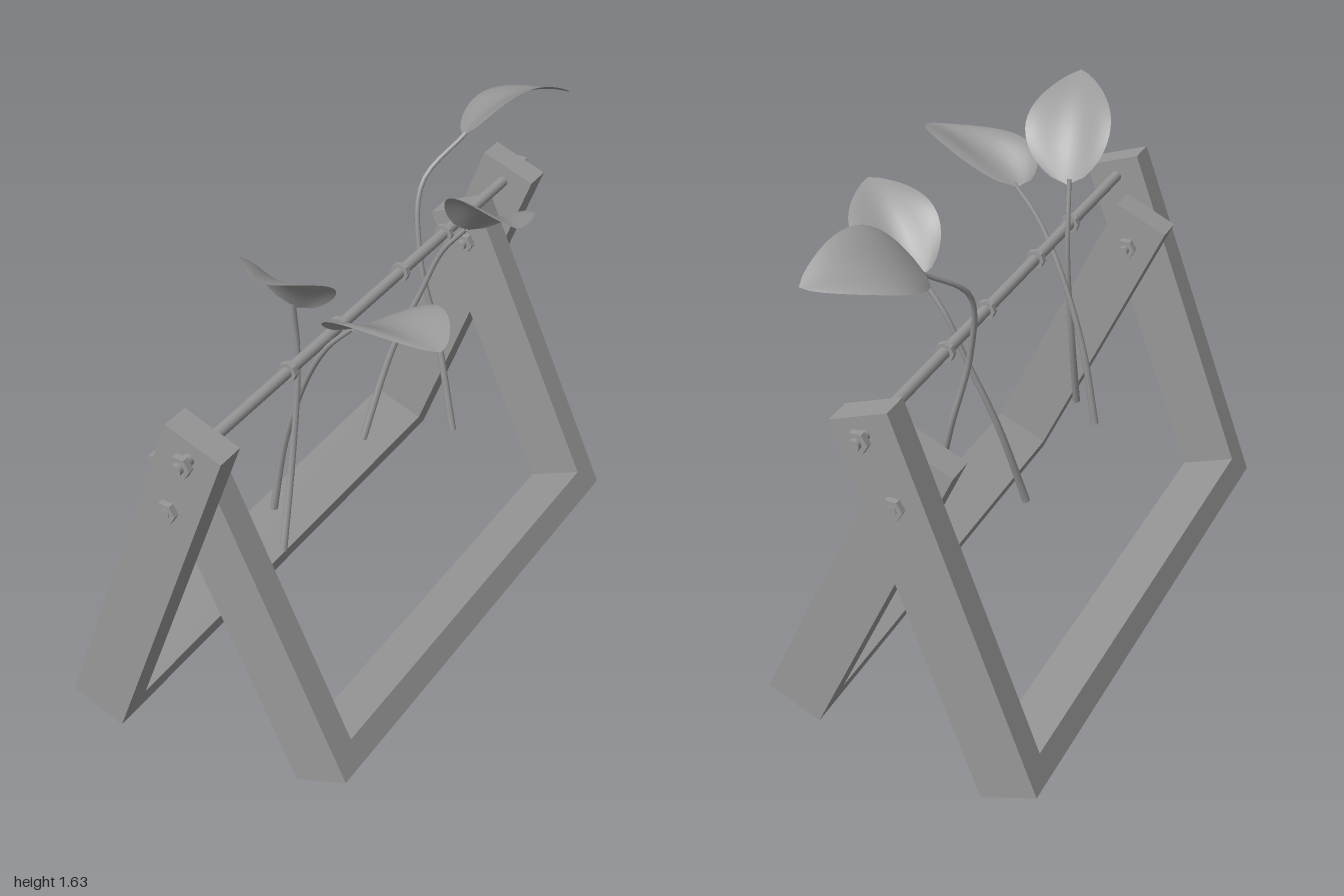
import * as THREE from 'three';

const GREY = 0x989898;
const material = new THREE.MeshStandardMaterial({ color: GREY, side: THREE.DoubleSide });
const flat = new THREE.MeshStandardMaterial({ color: GREY, flatShading: true });
const V = (p) => new THREE.Vector3(...p);

function add(parent, name, geometry, mat, x = 0, y = 0, z = 0) {
  const mesh = new THREE.Mesh(geometry, mat);
  mesh.name = name;
  mesh.position.set(x, y, z);
  parent.add(mesh);
  return mesh;
}

// Cylinder lying along x
function bar(parent, name, radius, length, sides, x, y, z) {
  const g = new THREE.CylinderGeometry(radius, radius, length, sides).rotateZ(Math.PI / 2);
  return add(parent, name, g, sides > 8 ? material : flat, x, y, z);
}

// U-shaped tilted frame: two legs joined by a plank at the foot
function uFrame(name, halfWidth, length, tilt, y, z) {
  const t = 0.09, depth = 0.19, frame = new THREE.Group();
  frame.name = name;
  for (const s of [-1, 1])
    add(frame, 'leg', new THREE.BoxGeometry(t, length, depth), flat, s * (halfWidth - t / 2), length / 2, 0);
  add(frame, 'crossPlank', new THREE.BoxGeometry(2 * (halfWidth - t), t, depth), flat, 0, t / 2, 0);
  frame.position.set(0, y, z);
  frame.rotation.x = tilt;
  return frame;
}

// Tube tapering towards the leaf
function stem(parent, points) {
  const curve = new THREE.CatmullRomCurve3(points.map(V));
  const rows = 28, sides = 8;
  const g = new THREE.TubeGeometry(curve, rows, 0.013, sides);
  const pos = g.attributes.position, p = new THREE.Vector3();
  for (let i = 0; i < pos.count; i++) {
    const t = Math.floor(i / (sides + 1)) / rows;
    const c = curve.getPointAt(t);
    p.fromBufferAttribute(pos, i).sub(c).multiplyScalar(1 - 0.45 * t).add(c);
    pos.setXYZ(i, p.x, p.y, p.z);
  }
  add(parent, 'stem', g, material);
  // Cut end of the stem
  const cap = add(parent, 'stemEnd', new THREE.CircleGeometry(0.013, sides), material, ...points[0]);
  cap.lookAt(V(points[0]).sub(curve.getTangentAt(0)));
}

// Egg-shaped blade with an arched midrib and raised sides that level out at the rim
function leaf(parent, { base, tip, side, halfWidth, arch, cup }) {
  const a = V(base), along = V(tip).sub(a);
  const lat = V(side).normalize();
  const up = lat.clone().cross(along).normalize();
  if (up.y < 0) up.negate();
  const g = new THREE.PlaneGeometry(1, 1, 12, 20);
  const pos = g.attributes.position, p = new THREE.Vector3();
  for (let i = 0; i < pos.count; i++) {
    const s = pos.getX(i) * 2, t = THREE.MathUtils.clamp(pos.getY(i) + 0.5, 0, 1);
    const w = Math.pow(Math.max(0, Math.sin(Math.PI * Math.pow(t, 0.8))), 0.75);
    const rise = cup * w * w * (1 - Math.cos(Math.PI * s)) / 2;
    p.copy(a).addScaledVector(along, t)
      .addScaledVector(lat, s * w * halfWidth)
      .addScaledVector(up, arch * 4 * t * (1 - t) + rise);
    pos.setXYZ(i, p.x, p.y, p.z);
  }
  g.computeVertexNormals();
  add(parent, 'leaf', g, material);
}

const SPRIGS = [
  { path: [[-0.335, 0.5, 0.295], [-0.28, 0.78, 0.24], [-0.25, 1.05, 0.222], [-0.25, 1.2, 0.225], [-0.27, 1.36, 0.25]],
    base: [-0.265, 1.34, 0.255], tip: [-0.46, 1.605, 0.49], side: [0.67, -0.1, 0.74], halfWidth: 0.14, arch: 0.04, cup: 0.03 },
  { path: [[-0.295, 0.52, 0.115], [-0.265, 0.8, 0.15], [-0.225, 1.05, 0.22], [-0.19, 1.22, 0.31], [-0.15, 1.32, 0.39]],
    base: [-0.155, 1.31, 0.375], tip: [-0.04, 1.425, 0.73], side: [0.28, 0.03, 0.07], halfWidth: 0.143, arch: 0.04, cup: 0.035 },
  { path: [[0.115, 0.5, -0.13], [0.22, 0.82, -0.14], [0.3, 1.05, -0.1], [0.345, 1.2, -0.06], [0.39, 1.31, 0.01]],
    base: [0.395, 1.3, 0.0], tip: [0.385, 1.49, 0.335], side: [0.24, -0.06, 0.07], halfWidth: 0.127, arch: 0.04, cup: 0.035 },
  { path: [[0.395, 0.52, -0.035], [0.37, 0.85, -0.12], [0.33, 1.12, -0.18], [0.36, 1.35, -0.24], [0.52, 1.475, -0.27]],
    base: [0.51, 1.47, -0.27], tip: [0.89, 1.54, -0.28], side: [0, 0.1, 0.24], halfWidth: 0.132, arch: 0.06, cup: 0.02 },
];

export function createModel() {
  const model = new THREE.Group();
  model.name = 'propagationStand';

  // Folding stand, turned about the vertical
  const stand = new THREE.Group();
  stand.name = 'stand';
  stand.rotation.y = 0.611;
  stand.position.set(0.013, 0, -0.009);
  model.add(stand);
  stand.add(uFrame('outerFrame', 0.933, 1.267, 0.346, 0.0325, -0.338));
  stand.add(uFrame('innerFrame', 0.843, 1.13, -0.44, 0.05, 0.427));

  // Hanging rod with end nuts and collars
  const rodY = 1.17, rodZ = 0.075, boltY = 0.96, boltZ = -0.006;
  bar(stand, 'rod', 0.018, 1.99, 16, 0, rodY, rodZ);
  for (const s of [-1, 1]) {
    bar(stand, 'rodNut', 0.036, 0.02, 6, s * 0.97, rodY, rodZ);
    for (const x of [0.178, 0.45]) bar(stand, 'collar', 0.031, 0.018, 8, s * x, rodY, rodZ);

    // Pivot bolt through both legs
    bar(stand, 'pivotBolt', 0.017, 0.245, 16, s * 0.8325, boltY, boltZ);
    bar(stand, 'boltHead', 0.035, 0.02, 6, s * 0.942, boltY, boltZ);
    bar(stand, 'boltNut', 0.035, 0.024, 6, s * 0.741, boltY, boltZ);
  }

  // Leafy cuttings
  for (const sprig of SPRIGS) {
    const group = new THREE.Group();
    group.name = 'cutting';
    stem(group, sprig.path);
    leaf(group, sprig);
    model.add(group);
  }
  return model;
}
